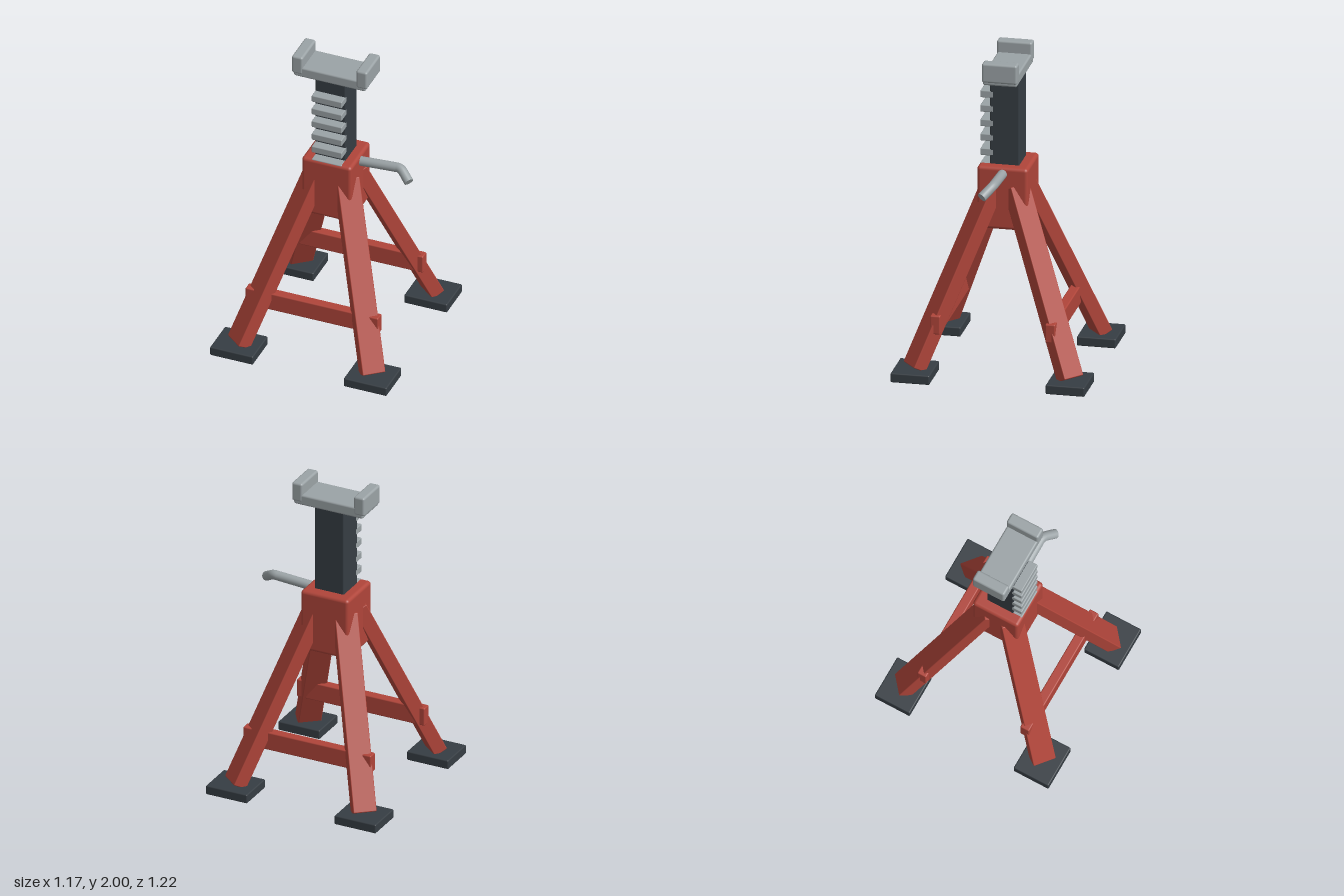
import * as THREE from 'three';
import { RoundedBoxGeometry } from 'three/addons/geometries/RoundedBoxGeometry.js';

const mat = (name, color) => {
  const m = new THREE.MeshStandardMaterial({ color });
  m.name = name;
  return m;
};

export function createModel() {
  const red = mat('red paint', 0xb0453a);
  const dark = mat('dark steel', 0x363d43);
  const grey = mat('bare steel', 0x9ba3a6);
  const group = new THREE.Group();

  const add = (name, geometry, material, x = 0, y = 0, z = 0) => {
    const mesh = new THREE.Mesh(geometry, material);
    mesh.name = name;
    mesh.position.set(x, y, z);
    group.add(mesh);
    return mesh;
  };
  const box = (w, h, d, r) => new RoundedBoxGeometry(w, h, d, 3, r);

  // Splayed legs and their foot pads
  const legWidth = 0.146, legDepth = 0.09;
  for (const sx of [-1, 1]) for (const sz of [-1, 1]) {
    const top = new THREE.Vector3(sx * 0.125, 1.18, sz * 0.105);
    const bottom = new THREE.Vector3(sx * 0.468, 0.08, sz * 0.52);
    const axis = top.clone().sub(bottom);
    const length = axis.length();
    axis.normalize();
    const across = new THREE.Vector3(axis.z, 0, -axis.x).normalize().negate();
    const outward = across.clone().cross(axis);
    const leg = add('leg', box(legWidth, length, legDepth, 0.006), red);
    leg.quaternion.setFromRotationMatrix(new THREE.Matrix4().makeBasis(across, axis, outward));
    leg.position.copy(top).add(bottom).multiplyScalar(0.5).addScaledVector(outward, -legDepth / 2);
    add('footPad', box(0.285, 0.06, 0.245, 0.008), dark, sx * 0.443, 0.03, sz * 0.487);
  }

  // Cross braces at the front and the back
  for (const sz of [-1, 1]) add('crossBrace', box(0.88, 0.12, 0.062, 0.008), red, 0, 0.34, sz * 0.361);

  // Central housing
  add('housing', box(0.33, 0.405, 0.32, 0.022), red, 0, 1.0955, 0);

  // Ratchet column with teeth on the front
  add('column', box(0.2, 0.96, 0.185, 0.008), dark, 0, 1.39, 0);
  for (let i = 0; i < 6; i++) add('ratchetTooth', box(0.2, 0.046, 0.085, 0.006), grey, 0, 1.747 - i * 0.0942, 0.11);

  // Saddle with two raised ends
  add('saddleBase', box(0.475, 0.07, 0.215, 0.012), grey, 0, 1.89, 0);
  for (const sx of [-1, 1]) add('saddleEnd', box(0.073, 0.125, 0.222, 0.014), grey, sx * 0.2135, 1.9375, 0);

  // Bent release handle
  const path = new THREE.CurvePath();
  const p = [[0.1, 1.252, 0], [0.41, 1.272, 0], [0.43, 1.273, 0.002], [0.45, 1.26, 0.014], [0.505, 1.222, 0.053]]
    .map((a) => new THREE.Vector3(...a));
  path.add(new THREE.LineCurve3(p[0], p[1]));
  path.add(new THREE.QuadraticBezierCurve3(p[1], p[2], p[3]));
  path.add(new THREE.LineCurve3(p[3], p[4]));
  const r = 0.03;
  add('handle', new THREE.TubeGeometry(path, 40, r, 20), grey);
  const cap = add('handleTip', new THREE.CircleGeometry(r, 20), grey, ...p[4].toArray());
  cap.quaternion.setFromUnitVectors(new THREE.Vector3(0, 0, 1), p[4].clone().sub(p[3]).normalize());

  return group;
}
